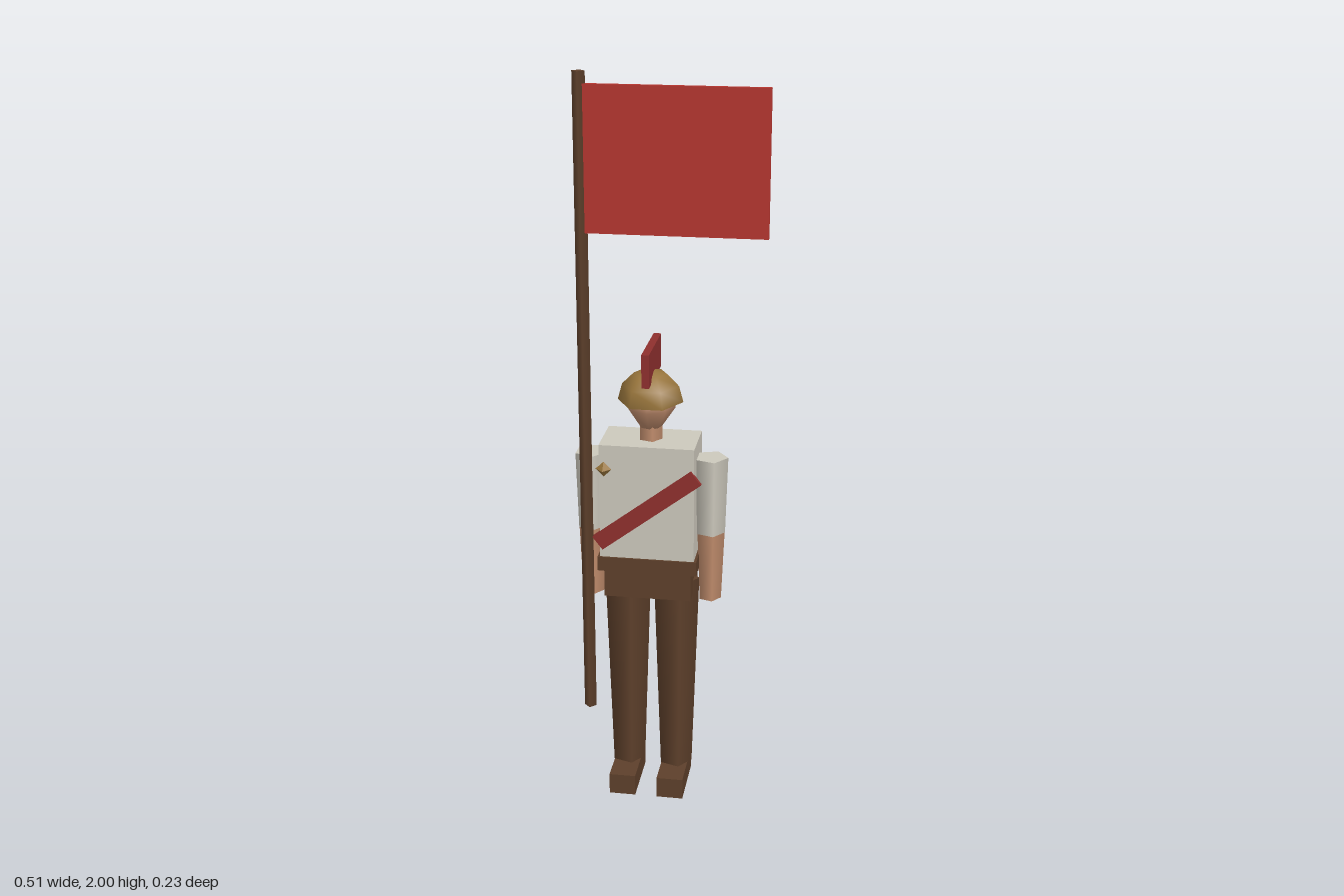
import * as THREE from 'three';

const mat = (name, color, extra = {}) => {
  const m = new THREE.MeshStandardMaterial({ color, ...extra });
  m.name = name;
  return m;
};

export function createModel() {
  const cream = mat('cream cloth', 0xcdc9bd);
  const brown = mat('brown leather', 0x5e402b);
  const skin = mat('skin', 0xc08c6c);
  const bronze = mat('bronze', 0x98753c, { side: THREE.DoubleSide });
  const darkRed = mat('dark red', 0x8f302e);
  const flagRed = mat('flag red', 0xb5342e);

  const model = new THREE.Group();
  model.name = 'standardBearer';
  const body = new THREE.Group();
  body.name = 'body';
  body.position.x = -0.0565;
  model.add(body);

  const add = (parent, name, geometry, material, x, y, z) => {
    const mesh = new THREE.Mesh(geometry, material);
    mesh.name = name;
    mesh.position.set(x, y, z);
    parent.add(mesh);
    return mesh;
  };
  const box = (parent, name, material, w, h, d, x, y, z) =>
    add(parent, name, new THREE.BoxGeometry(w, h, d), material, x, y, z);
  // Five-sided tapered limb between two heights, one corner pointing to +x
  const limb = (name, material, rTop, rBottom, yTop, yBottom, x) =>
    add(body, name, new THREE.CylinderGeometry(rTop, rBottom, yTop - yBottom, 5).rotateY(Math.PI / 2),
      material, x, (yTop + yBottom) / 2, 0);

  // Trunk
  box(body, 'torso', cream, 0.254, 0.32, 0.148, 0, 0.875, 0);
  box(body, 'belt', brown, 0.268, 0.04, 0.158, 0, 0.695, 0);
  box(body, 'pelvis', brown, 0.236, 0.08, 0.135, 0, 0.635, 0);

  // Limbs
  for (const [side, s] of [['left', 1], ['right', -1]]) {
    limb(side + 'Leg', brown, 0.0655, 0.0465, 0.635, 0.06, s * 0.067);
    box(body, side + 'Shoe', brown, 0.073, 0.06, 0.172, s * 0.067, 0.03, 0.026);
    limb(side + 'Sleeve', cream, 0.0465, 0.04, 0.99, 0.775, s * 0.1615);
    limb(side + 'Forearm', skin, 0.039, 0.031, 0.775, 0.58, s * 0.1615);
  }

  // Neck and head
  limb('neck', skin, 0.032, 0.032, 1.085, 1.03, 0);
  const profile = [[0, 1.06], [0.03, 1.07], [0.067, 1.125], [0.06, 1.155], [0, 1.19]]
    .map(([r, y]) => new THREE.Vector2(r, y));
  add(body, 'head', new THREE.LatheGeometry(profile, 8), skin, 0, 0, 0);

  // Open half-dome helmet with a crest
  add(body, 'helmet', new THREE.SphereGeometry(0.0875, 6, 3, 0, Math.PI * 2, 0, Math.PI / 2),
    bronze, 0, 1.14, 0);
  box(body, 'crest', darkRed, 0.02, 0.09, 0.197, 0, 1.245, -0.0165);

  // Sash and badge on the chest
  const sash = box(body, 'sash', darkRed, 0.333, 0.045, 0.012, 0, 0.857, 0.076);
  sash.rotation.z = 0.65;
  add(body, 'badge', new THREE.OctahedronGeometry(0.022), bronze, -0.114, 0.968, 0.073);

  // Flag on its square pole
  add(model, 'flagPole', new THREE.CylinderGeometry(0.0165, 0.0165, 1.74, 4), brown, -0.2165, 1.13, 0.079);
  box(model, 'flag', flagRed, 0.463, 0.367, 0.013, 0.0225, 1.786, 0.079);

  return model;
}
